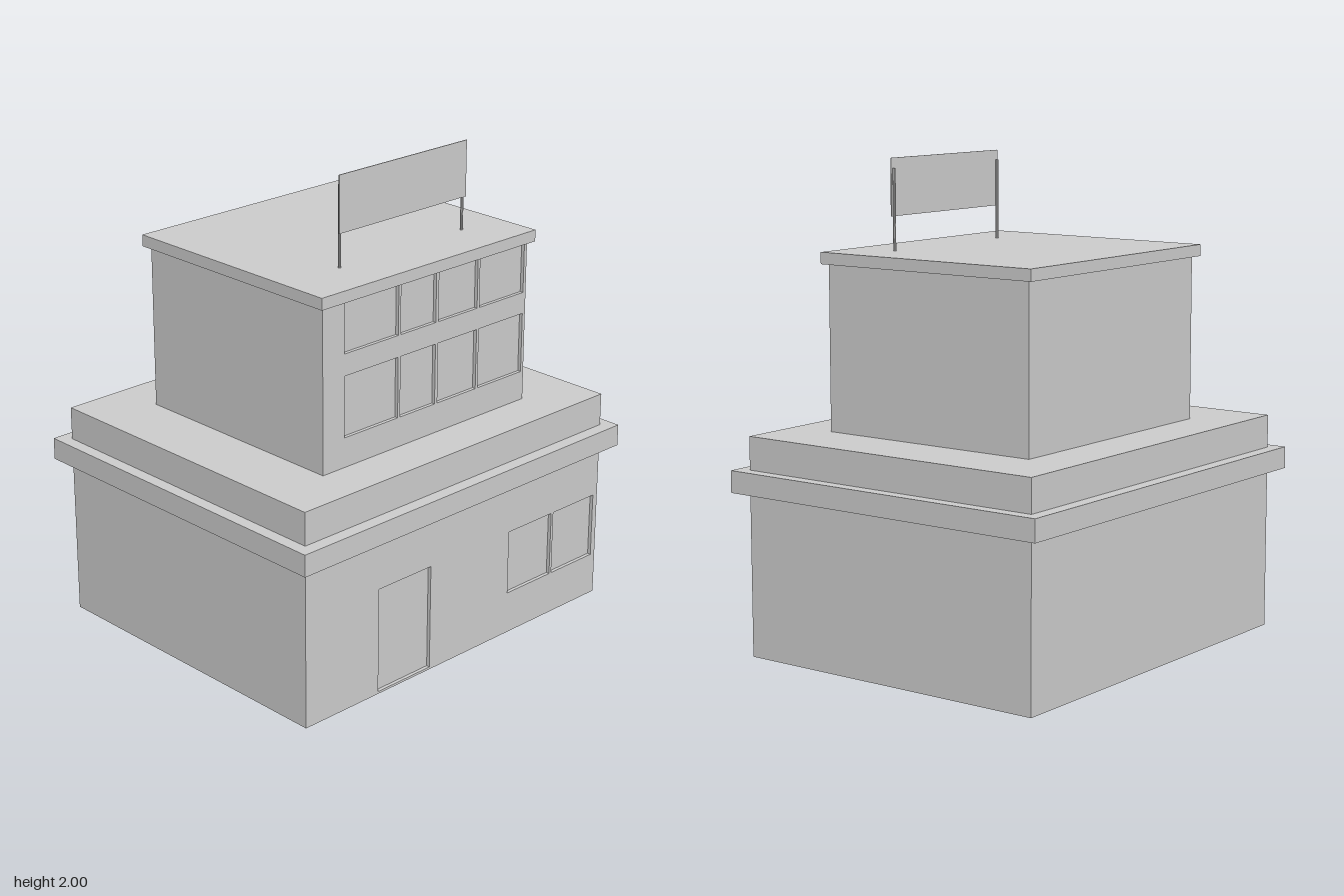
import * as THREE from 'three';

const material = new THREE.MeshStandardMaterial({ color: 0xcccccc, flatShading: true });

// Box given by its min and max on each axis
function box(name, [x0, x1], [y0, y1], [z0, z1]) {
  const mesh = new THREE.Mesh(new THREE.BoxGeometry(x1 - x0, y1 - y0, z1 - z0), material);
  mesh.name = name;
  mesh.position.set((x0 + x1) / 2, (y0 + y1) / 2, (z0 + z1) / 2);
  return mesh;
}

function rectangle(Type, [x0, x1], [y0, y1]) {
  return new Type([[x0, y0], [x1, y0], [x1, y1], [x0, y1]].map(([x, y]) => new THREE.Vector2(x, y)));
}

// A storey: solid core plus a front wall whose openings form shallow recesses
function storey(name, x, y, z, openings, depth) {
  const group = new THREE.Group();
  group.name = name;
  group.add(box(name + 'Core', x, y, [z[0], z[1] - depth]));
  const shape = rectangle(THREE.Shape, x, y);
  for (const [ox, oy] of openings) shape.holes.push(rectangle(THREE.Path, ox, oy));
  const wall = new THREE.Mesh(new THREE.ExtrudeGeometry(shape, { depth, bevelEnabled: false }), material);
  wall.name = name + 'FrontWall';
  wall.position.z = z[1] - depth;
  group.add(wall);
  return group;
}

export function createModel() {
  const model = new THREE.Group();
  model.name = 'building';

  // Ground floor with a door and two windows
  const door = [[-0.45, -0.163], [0.01, 0.455]];
  const shopWindows = [[0.29, 0.547], [0.56, 0.81]].map((x) => [x, [0.18, 0.455]]);
  model.add(storey('groundFloor', [-0.835, 0.835], [0, 0.905], [-0.697, 0.697], [door, ...shopWindows], 0.015));

  // Projecting band around the ground floor
  model.add(box('canopyBand', [-0.887, 0.887], [0.677, 0.768], [-0.752, 0.752]));

  // Upper floors with two rows of four windows
  const columns = [[-0.45, -0.163], [-0.15, 0.043], [0.058, 0.277], [0.29, 0.547]];
  const rows = [[1.028, 1.28], [1.37, 1.578]];
  const windows = rows.flatMap((y) => columns.map((x) => [x, y]));
  model.add(storey('upperFloors', [-0.562, 0.562], [0.905, 1.582], [-0.484, 0.505], windows, 0.015));

  // Roof slab
  model.add(box('roofSlab', [-0.584, 0.588], [1.582, 1.63], [-0.511, 0.525]));

  // Sign panel on two posts
  const sign = new THREE.Group();
  sign.name = 'roofSign';
  sign.add(box('signPanel', [-0.307, 0.388], [1.768, 2], [0.324, 0.328]));
  for (const x of [-0.297, 0.376]) {
    const post = new THREE.Mesh(new THREE.CylinderGeometry(0.006, 0.006, 0.33, 8), material);
    post.name = 'signPost';
    post.position.set(x, 1.795, 0.319);
    sign.add(post);
  }
  model.add(sign);

  return model;
}
